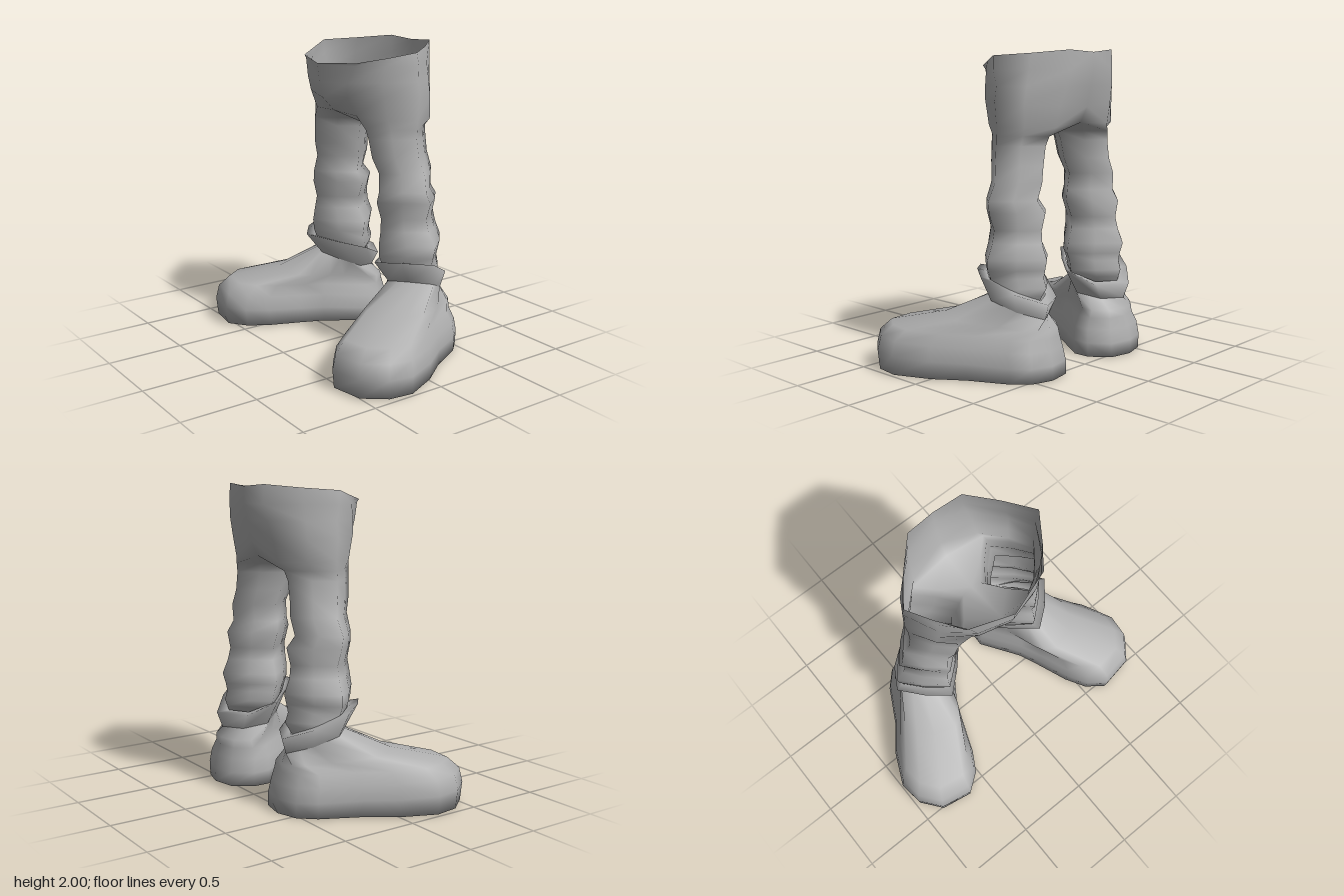
import * as THREE from 'three';
import { mergeVertices } from 'three/addons/utils/BufferGeometryUtils.js';

const grey = new THREE.MeshStandardMaterial({ color: 0xb0b0b0, side: THREE.DoubleSide });
grey.name = 'plainGrey';

// Skin a list of rings (bottom to top); closed rings wrap around, open ones do not.
// Returns triangles as point triples.
function skin(rings, closed = true) {
  const tris = [];
  for (let j = 0; j < rings.length - 1; j++) {
    const lo = rings[j], hi = rings[j + 1], n = lo.length;
    for (let i = 0; i < (closed ? n : n - 1); i++) {
      const k = (i + 1) % n;
      tris.push([lo[i], lo[k], hi[k]], [lo[i], hi[k], hi[i]]);
    }
  }
  return tris;
}

const mirror = (tris) => tris.map((t) => [t[0], t[2], t[1]].map(([x, y, z]) => [-x, y, z]));

function makeMesh(name, tris) {
  let geo = new THREE.BufferGeometry();
  geo.setAttribute('position', new THREE.Float32BufferAttribute(tris.flat(2), 3));
  geo = mergeVertices(geo, 1e-4);
  geo.computeVertexNormals();
  const mesh = new THREE.Mesh(geo, grey);
  mesh.name = name;
  return mesh;
}

// Trouser leg: height, inner x, outer x, front z, back z
const legLevels = [
  [0.47, 0.20, 0.575, -0.08, -0.45],
  [0.51, 0.16, 0.60, -0.06, -0.47],
  [0.56, 0.13, 0.605, -0.04, -0.495],
  [0.62, 0.14, 0.60, -0.02, -0.475],
  [0.67, 0.12, 0.62, 0.00, -0.485],
  [0.74, 0.12, 0.63, 0.005, -0.505],
  [0.83, 0.17, 0.575, -0.01, -0.465],
  [0.91, 0.17, 0.555, -0.02, -0.45],
  [1.02, 0.12, 0.595, 0.01, -0.475],
  [1.09, 0.155, 0.58, 0.00, -0.42],
  [1.20, 0.155, 0.54, -0.015, -0.44],
  [1.30, 0.13, 0.51, 0.02, -0.425],
  [1.42, 0.105, 0.495, 0.035, -0.425],
  [1.48, 0.07, 0.495, 0.045, -0.44],
];

// Squarish eight-point ring with its corners on the axes:
// inner, front-inner, front, front-outer, outer, back-outer, back, back-inner
function legRing([y, xi, xo, zf, zb]) {
  const cx = (xi + xo) / 2, cz = (zf + zb) / 2;
  return Array.from({ length: 8 }, (_, i) => {
    const a = (i * Math.PI) / 4, k = i % 2 ? 0.76 : 1;
    return [cx - Math.cos(a) * k * (xo - xi) / 2, y, cz + Math.sin(a) * k * (zf - zb) / 2];
  });
}

// Pelvis half rings, from the front middle around the hip to the back middle
const hipRings = [
  [[0, 1.57, 0.09], [0.22, 1.56, 0.07], [0.40, 1.54, -0.04], [0.495, 1.54, -0.2],
    [0.42, 1.53, -0.36], [0.25, 1.53, -0.46], [0, 1.55, -0.45]],
  [[0, 1.66, 0.175], [0.2, 1.68, 0.13], [0.4, 1.69, -0.01], [0.51, 1.69, -0.2],
    [0.42, 1.67, -0.36], [0.24, 1.66, -0.49], [0, 1.65, -0.5]],
  [[0, 1.76, 0.2], [0.22, 1.77, 0.14], [0.39, 1.78, 0], [0.495, 1.78, -0.2],
    [0.4, 1.78, -0.36], [0.22, 1.78, -0.52], [0, 1.78, -0.53]],
  [[0, 1.87, 0.213], [0.27, 1.88, 0.12], [0.4, 1.88, -0.02], [0.51, 1.88, -0.19],
    [0.38, 1.88, -0.36], [0.2, 1.88, -0.535], [0, 1.88, -0.55]],
  [[0, 1.88, 0.215], [0.29, 1.9, 0.12], [0.4, 1.93, -0.03], [0.5, 1.965, -0.18],
    [0.36, 1.98, -0.36], [0.2, 2.0, -0.53], [0, 1.985, -0.55]],
];

function trousers() {
  const crotch = [0, 1.51, -0.2];
  const half = [
    ...skin([...legLevels.map(legRing), [crotch, ...hipRings[0]]]),
    ...skin(hipRings, false),
  ];
  return makeMesh('trousers', [...half, ...mirror(half)]);
}

// Boot footprint from the inner heel around the toe to the outer heel:
// distance along the foot, distance to the outer side
const footprint = [
  [-0.26, -0.1], [-0.17, -0.165], [0.15, -0.163], [0.314, -0.195], [0.534, -0.244],
  [0.695, -0.254], [0.836, -0.203], [0.923, 0.0], [0.867, 0.17], [0.744, 0.276],
  [0.5, 0.313], [0.27, 0.3], [0, 0.325], [-0.135, 0.3], [-0.25, 0.2], [-0.31, 0.05],
];

// Footprint squeezed between heel and toe, rising from heel height to toe height,
// placed along the outward-turned foot
function bootRing([heel, toe, width, yHeel, yToe]) {
  return footprint.map(([t, s]) => {
    const u = (t + 0.31) / 1.233;
    const along = heel + (toe - heel) * u;
    const side = 0.04 + (s - 0.04) * width;
    return [
      0.36 + 0.55 * along + 0.835 * side,
      yHeel + (yToe - yHeel) * u,
      -0.25 + 0.835 * along - 0.55 * side,
    ];
  });
}

// Squarish ankle and cuff rings, in the same corner order as the leg rings
const ankle = [
  [0.19, 0.40, -0.27], [0.27, 0.45, -0.15], [0.38, 0.49, -0.07], [0.50, 0.50, -0.14],
  [0.61, 0.49, -0.26], [0.52, 0.42, -0.39], [0.39, 0.37, -0.505], [0.26, 0.37, -0.42],
];
const cuffRim = [
  [0.10, 0.56, -0.25], [0.24, 0.60, -0.09], [0.39, 0.64, 0.05], [0.53, 0.65, -0.06],
  [0.66, 0.64, -0.22], [0.56, 0.54, -0.40], [0.40, 0.47, -0.54], [0.20, 0.47, -0.43],
];
const cuffFold = [
  [0.14, 0.55, -0.25], [0.25, 0.59, -0.12], [0.37, 0.62, -0.02], [0.49, 0.63, -0.11],
  [0.60, 0.62, -0.24], [0.50, 0.54, -0.37], [0.38, 0.48, -0.46], [0.25, 0.48, -0.38],
];

// Add a point halfway along each edge so an eight-point ring meets the footprint
const densify = (ring) => ring.flatMap((p, i) => {
  const before = ring[(i + ring.length - 1) % ring.length];
  return [p.map((v, k) => (v + before[k]) / 2), p];
});

// Each level: heel end, toe end, width, heel height, toe height
const footRings = [
  [-0.31, 0.91, 0.98, 0.0, 0.01],
  [-0.31, 0.923, 1.0, 0.09, 0.13],
  [-0.29, 0.90, 0.95, 0.18, 0.225],
  [-0.27, 0.82, 0.82, 0.25, 0.295],
  [-0.26, 0.46, 0.74, 0.30, 0.365],
].map(bootRing);

// Sole closing the bottom of the boot
const sole = footRings[0].map((p, i, ring) => [[0.53, 0.005, 0.02], ring[(i + 1) % ring.length], p]);

export function createModel() {
  const model = new THREE.Group();
  model.name = 'trousersAndBoots';
  model.add(trousers());
  for (const side of ['left', 'right']) {
    const place = side === 'left' ? (t) => t : mirror;
    const boot = new THREE.Group();
    boot.name = side + 'Boot';
    boot.add(
      makeMesh(side + 'BootFoot', place([...skin([...footRings, densify(ankle)]), ...sole])),
      makeMesh(side + 'BootCuff', place(skin([ankle, cuffRim, cuffFold]))),
    );
    model.add(boot);
  }
  return model;
}
